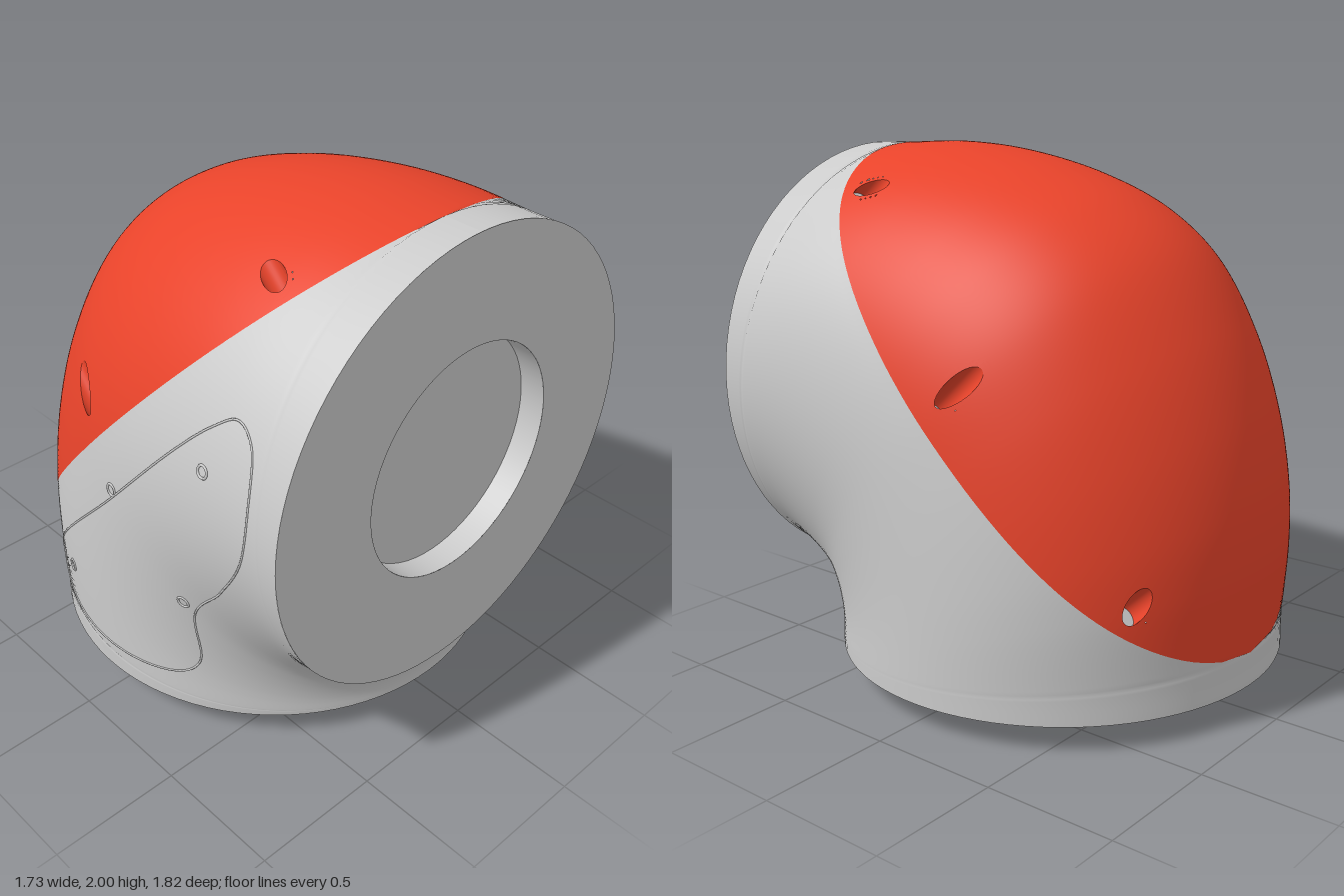
import * as THREE from 'three';

const HALF = 0.865, PIVOT_Z = 0.91, PIVOT_Y = 0.1;
// Outer profile of the elbow as [z, y], from bottom back to top front
const PROFILE = [[-0.886, 0.1], [-0.886, 0.228], [-0.907, 0.546], [-0.897, 0.785], [-0.84, 1.077],
  [-0.725, 1.38], [-0.55, 1.65], [-0.34, 1.81], [-0.07, 1.915], [0.24, 1.98], [0.5, 2], [0.76, 1.99], [0.91, 1.988]];
const STEPS = 14;

// Slanted plane dividing the base from the dome
const [A, B] = [PROFILE[1], PROFILE[11]];
const len = Math.hypot(B[0] - A[0], B[1] - A[1]);
const N = new THREE.Vector3(0, (B[0] - A[0]) / len, -(B[1] - A[1]) / len);
const ALONG = new THREE.Vector3(0, -N.z, N.y);
const heightAbove = (z, y) => (z - A[0]) * N.z + (y - A[1]) * N.y;

// Elliptical sections fanning around the inner corner
function section(t, outer) {
  const inner = 1 / Math.hypot(Math.cos(t) / 0.065, Math.sin(t) / 0.16);
  return { t, c: (inner + outer) / 2, a: (outer - inner) / 2, outer };
}
const curve = new THREE.CatmullRomCurve3(PROFILE.map(([z, y]) => new THREE.Vector3(0, y, z)));
const sections = curve.getPoints((PROFILE.length - 1) * STEPS).map((p) => section(
  Math.atan2(p.y - PIVOT_Y, PIVOT_Z - p.z), Math.hypot(p.y - PIVOT_Y, PIVOT_Z - p.z)));

function pointOn({ t, c, a }, theta) {
  const s = c + a * Math.cos(theta);
  return new THREE.Vector3(HALF * Math.sin(theta), PIVOT_Y + s * Math.sin(t), PIVOT_Z - s * Math.cos(t));
}

// Angle on a section where the dividing plane crosses it
function splitAngle({ t, c, a }) {
  const base = heightAbove(PIVOT_Z, PIVOT_Y);
  const s = -base / (Math.sin(t) * N.y - Math.cos(t) * N.z);
  return Math.acos(THREE.MathUtils.clamp((s - c) / a, -1, 1));
}

// Half width of the body at a given z, y
function surfaceX(z, y) {
  const t = Math.atan2(y - PIVOT_Y, PIVOT_Z - z), s = Math.hypot(y - PIVOT_Y, PIVOT_Z - z);
  let i = 1;
  while (i < sections.length - 1 && sections[i].t < t) i++;
  const p = sections[i - 1], q = sections[i];
  const k = THREE.MathUtils.clamp((t - p.t) / (q.t - p.t), 0, 1);
  const { c, a } = section(t, THREE.MathUtils.lerp(p.outer, q.outer, k));
  return HALF * Math.sqrt(Math.max(0, 1 - ((s - c) / a) ** 2));
}

// Surface through rows of points; keep() may leave faces out
function skin(rows, keep = () => true) {
  const pos = [], index = [], n = rows[0].length, flat = rows.flat();
  flat.forEach((p) => pos.push(p.x, p.y, p.z));
  const tri = (...f) => {
    const [p, q, r] = f.map((i) => flat[i]);
    const area = q.clone().sub(p).cross(r.clone().sub(p)).length();
    if (area > 1e-9 && keep(p, q, r)) index.push(...f);
  };
  for (let i = 0; i < rows.length - 1; i++) {
    for (let j = 0; j < n - 1; j++) {
      const a = i * n + j, b = a + n;
      tri(a, b, a + 1);
      tri(b, b + 1, a + 1);
    }
  }
  const g = new THREE.BufferGeometry();
  g.setAttribute('position', new THREE.Float32BufferAttribute(pos, 3));
  g.setIndex(index);
  g.computeVertexNormals();
  return g;
}

const range = (n, f) => Array.from({ length: n + 1 }, (_, i) => f(i / n));

export function createModel() {
  const model = new THREE.Group();
  const grey = new THREE.MeshStandardMaterial({ color: 0xcccccc });
  const greyTwo = new THREE.MeshStandardMaterial({ color: 0xcccccc, side: THREE.DoubleSide });
  const red = new THREE.MeshStandardMaterial({ color: 0xe8432a });
  const redTwo = new THREE.MeshStandardMaterial({ color: 0xe8432a, side: THREE.DoubleSide });
  const add = (name, geometry, material, x = 0, y = 0, z = 0) => {
    const mesh = new THREE.Mesh(geometry, material);
    mesh.name = name;
    mesh.position.set(x, y, z);
    model.add(mesh);
    return mesh;
  };

  // Elbow base below the dividing plane
  add('elbowBase', skin(sections.map((s) => {
    const c = splitAngle(s);
    return range(90, (k) => pointOn(s, c + k * 2 * (Math.PI - c)));
  })), grey);

  // Screw pockets in the dome, three per side, drilled square to the plane
  const R = 0.042, FLOOR = 0.02;
  const pockets = [];
  for (const [z, y] of [[0.49, 1.85], [-0.19, 1.25], [-0.74, 0.53]]) {
    const x = surfaceX(z, y), h = heightAbove(z, y);
    for (const side of [-1, 1]) pockets.push(new THREE.Vector3(side * x, y, z).addScaledVector(N, -h));
  }
  const fromAxis = (p, o) => {
    const d = p.clone().sub(o);
    return Math.hypot(d.x, d.dot(ALONG));
  };

  // Dome cover
  const domeRows = sections.slice(STEPS, 11 * STEPS + 1).map((s) => {
    const c = splitAngle(s);
    return range(130, (k) => pointOn(s, c * (2 * k - 1)));
  });
  add('domeCover', skin(domeRows, (...tri) =>
    !pockets.some((o) => tri.some((p) => fromAxis(p, o) < R))), red);

  // Height of the dome over a point of the plane, by bisection
  const lift = (p) => {
    let lo = 0, hi = 1.2;
    for (let i = 0; i < 26; i++) {
      const mid = (lo + hi) / 2, q = p.clone().addScaledVector(N, mid);
      if (Math.abs(q.x) < surfaceX(q.z, q.y)) lo = mid; else hi = mid;
    }
    return p.clone().addScaledVector(N, lo);
  };
  for (const o of pockets) {
    const ring = (r) => range(28, (k) => o.clone()
      .add(new THREE.Vector3(r * Math.cos(k * 2 * Math.PI), 0, 0))
      .addScaledVector(ALONG, r * Math.sin(k * 2 * Math.PI)));
    const rim = ring(R).map(lift);
    add('pocketRim', skin([rim, ring(R * 1.4).map(lift)]), redTwo);
    add('pocketWall', skin([rim, ring(R).map((p) => p.addScaledVector(N, FLOOR))]), redTwo);
    const at = o.clone().addScaledVector(N, FLOOR);
    add('pocketScrew', new THREE.CircleGeometry(R, 28), grey, at.x, at.y, at.z)
      .quaternion.setFromUnitVectors(new THREE.Vector3(0, 0, 1), N);
  }

  // Underside with round plug
  add('underside', new THREE.CircleGeometry(HALF, 90).rotateX(Math.PI / 2), grey, 0, PIVOT_Y, -0.02);
  add('bottomPlug', new THREE.CylinderGeometry(0.445, 0.445, 0.1, 64), grey, 0, 0.05, -0.02);

  // Front face with round socket
  const FY = 1.125;
  add('frontFace', new THREE.RingGeometry(0.445, HALF, 90), grey, 0, FY, PIVOT_Z);
  add('socketWall', new THREE.CylinderGeometry(0.445, 0.445, 0.1, 64, 1, true).rotateX(Math.PI / 2),
    greyTwo, 0, FY, PIVOT_Z - 0.05);
  add('socketFloor', new THREE.CircleGeometry(0.445, 64), grey, 0, FY, PIVOT_Z - 0.1);

  // Access panel on the right side: seam line and screw holes
  const onSide = (z, y) => new THREE.Vector3(-surfaceX(z, y), y, z);
  const outline = new THREE.CatmullRomCurve3([[-0.46, 0.33], [-0.38, 0.25], [0.3, 0.245], [0.39, 0.32], [0.42, 0.6],
    [0.6, 0.83], [0.75, 1.08], [0.77, 1.3], [0.73, 1.47], [0.65, 1.52], [0.55, 1.46], [0.05, 0.93], [-0.43, 0.42]]
    .map(([z, y]) => new THREE.Vector3(0, y, z)), true, 'centripetal');
  const seam = new THREE.CatmullRomCurve3(outline.getPoints(120).slice(0, -1).map((p) => onSide(p.z, p.y)), true);
  add('panelSeam', new THREE.TubeGeometry(seam, 240, 0.004, 6, true), grey);
  for (const [z, y] of [[0.55, 1.31], [0.065, 0.98], [0.38, 0.64], [-0.28, 0.41]]) {
    const p = onSide(z, y), e = 0.01;
    const out = onSide(z + e, y).sub(p).cross(onSide(z, y + e).sub(p)).normalize();
    if (out.x > 0) out.negate();
    add('panelScrewHole', new THREE.TorusGeometry(0.022, 0.005, 6, 20), grey, p.x, p.y, p.z)
      .quaternion.setFromUnitVectors(new THREE.Vector3(0, 0, 1), out);
  }
  return model;
}
